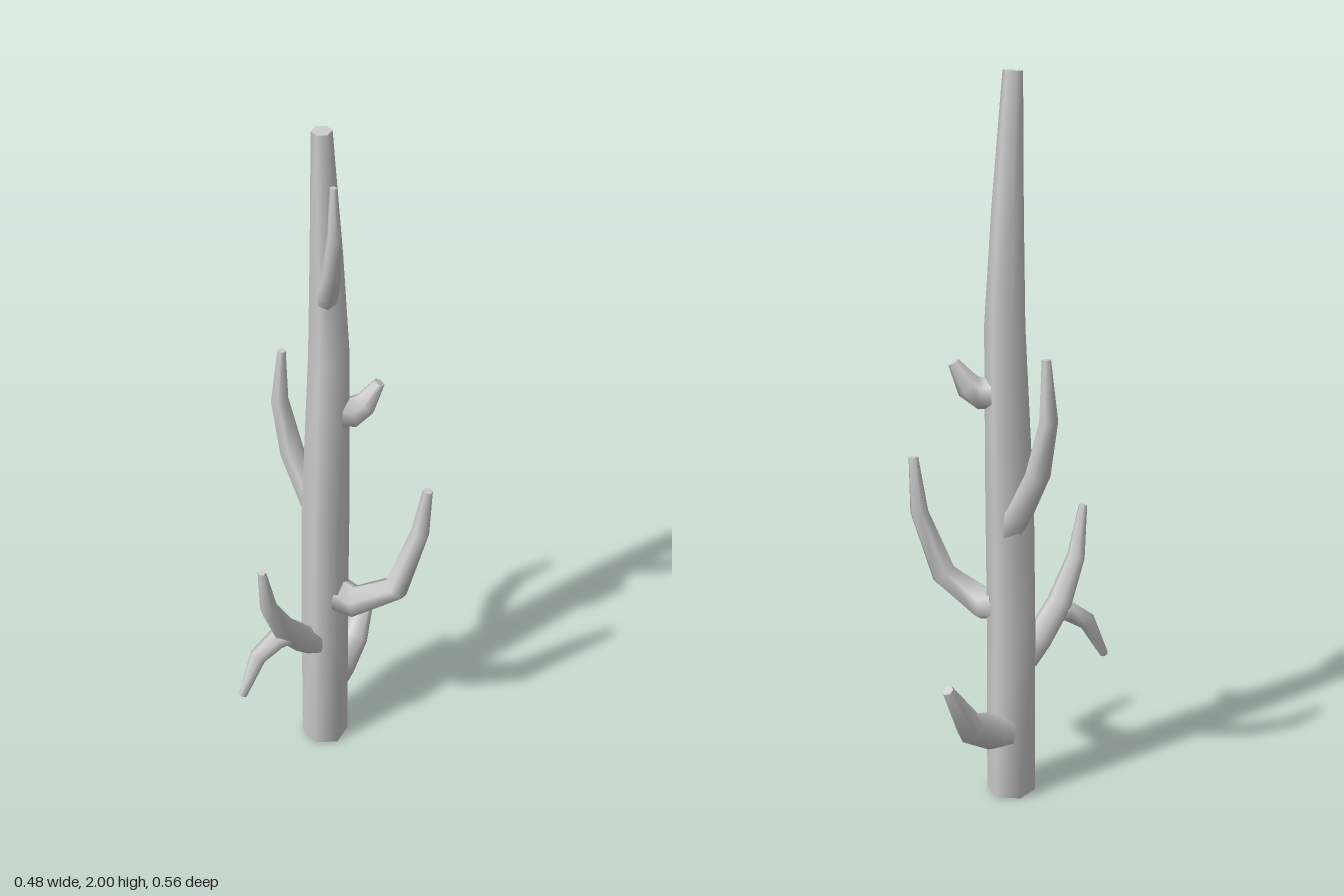
import * as THREE from 'three';

const SIDES = 6;
const material = new THREE.MeshStandardMaterial({ color: 0xcccccc, side: THREE.DoubleSide });

// Six-sided limb through stations [x, y, z, radius], with flat end caps
function limb(name, stations, ref, capStart = true) {
  const centres = stations.map(([x, y, z]) => new THREE.Vector3(x, y, z));
  const last = centres.length - 1;
  const positions = [], index = [], rings = [];
  let u = ref.clone();
  centres.forEach((c, i) => {
    // Tangent bisects the neighbouring segments
    const t = new THREE.Vector3();
    if (i > 0) t.add(c.clone().sub(centres[i - 1]).normalize());
    if (i < last) t.add(centres[i + 1].clone().sub(c).normalize());
    t.normalize();
    u = u.clone().addScaledVector(t, -u.dot(t)).normalize();
    const v = t.clone().cross(u);
    const ring = [];
    for (let k = 0; k < SIDES; k++) {
      const a = (k / SIDES) * Math.PI * 2;
      ring.push(c.clone()
        .addScaledVector(u, Math.cos(a) * stations[i][3])
        .addScaledVector(v, Math.sin(a) * stations[i][3]));
    }
    rings.push(ring);
    ring.forEach((p) => positions.push(p.x, p.y, p.z));
  });
  for (let i = 0; i < last; i++) {
    for (let k = 0; k < SIDES; k++) {
      const a = i * SIDES + k, b = i * SIDES + (k + 1) % SIDES;
      index.push(a, b, b + SIDES, a, b + SIDES, a + SIDES);
    }
  }
  // Caps own their vertices so the rim stays sharp
  const cap = (ring, flip) => {
    const base = positions.length / 3;
    ring.forEach((p) => positions.push(p.x, p.y, p.z));
    for (let k = 1; k < SIDES - 1; k++) {
      index.push(base, base + (flip ? k + 1 : k), base + (flip ? k : k + 1));
    }
  };
  cap(rings[last], false);
  if (capStart) cap(rings[0], true);

  const geometry = new THREE.BufferGeometry();
  geometry.setAttribute('position', new THREE.Float32BufferAttribute(positions, 3));
  geometry.setIndex(index);
  geometry.computeVertexNormals();
  const mesh = new THREE.Mesh(geometry, material);
  mesh.name = name;
  return mesh;
}

export function createModel() {
  const group = new THREE.Group();
  group.name = 'bareTree';

  // Tapering trunk, open at the foot
  group.add(limb('trunk', [
    [-0.047, 0, -0.021, 0.068],
    [-0.047, 0.5, -0.022, 0.067],
    [-0.046, 0.85, -0.028, 0.066],
    [-0.046, 1.35, -0.05, 0.054],
    [-0.047, 1.65, -0.04, 0.042],
    [-0.048, 2, -0.02, 0.026],
  ], new THREE.Vector3(0, 0, 1), false));

  // Branches, each rooted inside the trunk
  const branches = {
    lowBackBranch: [
      [-0.045, 0.20, -0.06, 0.056], [-0.043, 0.21, -0.10, 0.055],
      [-0.035, 0.25, -0.188, 0.044], [-0.019, 0.385, -0.264, 0.017],
    ],
    leftBranch: [
      [-0.01, 0.56, -0.025, 0.052], [0.045, 0.545, -0.03, 0.048],
      [0.158, 0.615, -0.062, 0.038], [0.205, 0.8, -0.108, 0.026],
      [0.224, 0.953, -0.107, 0.014],
    ],
    frontBranch: [
      [-0.06, 0.39, 0.02, 0.042], [-0.072, 0.435, 0.07, 0.04],
      [-0.09, 0.525, 0.145, 0.036], [-0.1, 0.645, 0.207, 0.026],
      [-0.106, 0.793, 0.23, 0.012],
    ],
    frontTwig: [
      [-0.085, 0.495, 0.13, 0.03], [-0.105, 0.495, 0.165, 0.03],
      [-0.138, 0.455, 0.213, 0.025], [-0.16, 0.342, 0.268, 0.012],
    ],
    rightBranch: [
      [-0.06, 0.79, -0.045, 0.04], [-0.105, 0.855, -0.055, 0.037],
      [-0.175, 0.975, -0.075, 0.034], [-0.214, 1.13, -0.083, 0.025],
      [-0.205, 1.292, -0.083, 0.012],
    ],
    backStub: [
      [-0.02, 1.17, -0.06, 0.045], [0.01, 1.165, -0.078, 0.045],
      [0.036, 1.185, -0.1, 0.036], [0.067, 1.25, -0.123, 0.016],
    ],
    topBranch: [
      [-0.035, 1.535, -0.015, 0.027], [-0.02, 1.57, 0.003, 0.027],
      [0.003, 1.64, 0.03, 0.025], [0.022, 1.77, 0.051, 0.018],
      [0.016, 1.895, 0.045, 0.009],
    ],
  };
  const up = new THREE.Vector3(0, 1, 0);
  for (const [name, stations] of Object.entries(branches)) {
    group.add(limb(name, stations, up));
  }
  return group;
}
